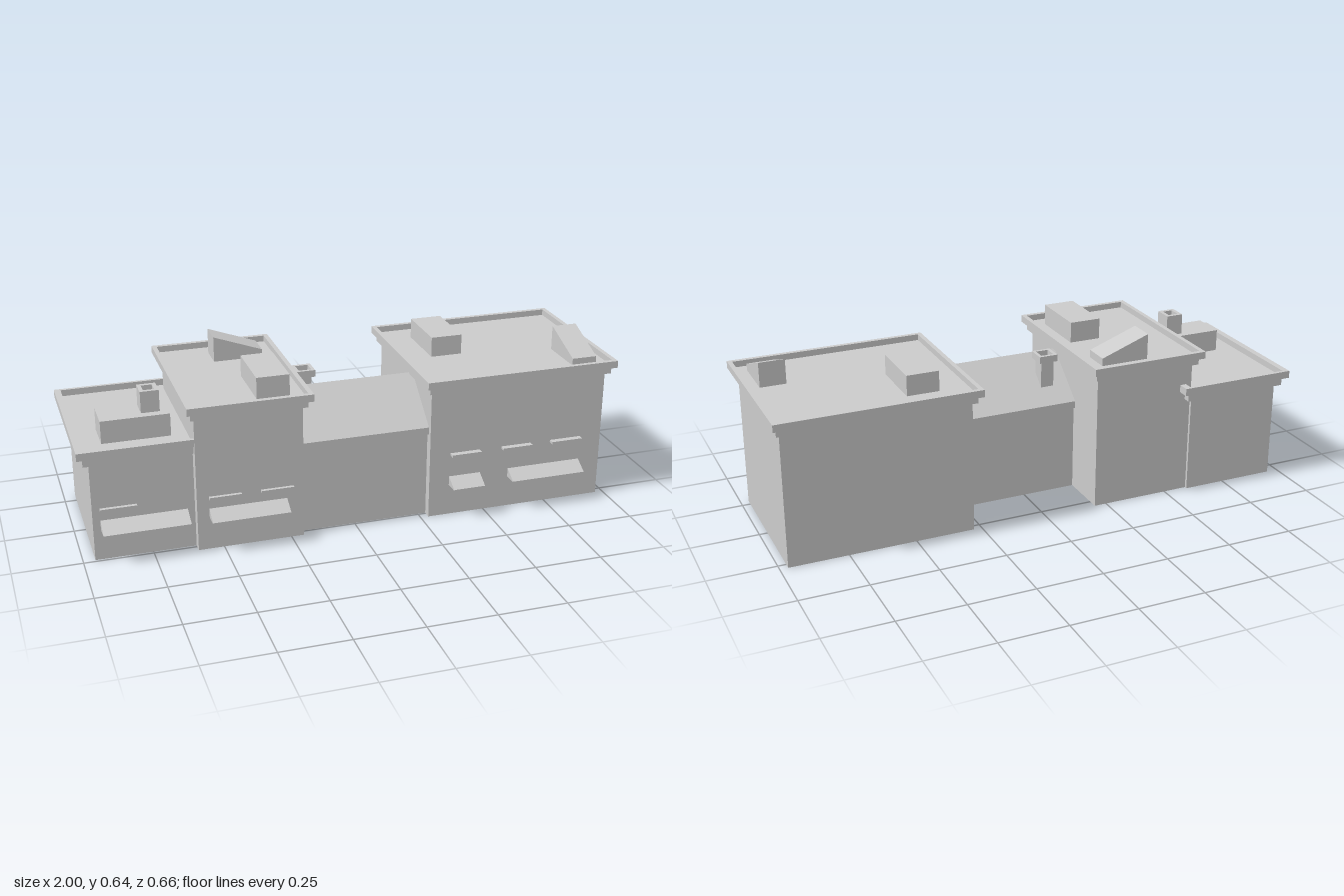
import * as THREE from 'three';

const material = new THREE.MeshStandardMaterial({ color: 0xcccccc, flatShading: true });

function add(parent, name, geometry) {
  const mesh = new THREE.Mesh(geometry, material);
  mesh.name = name;
  parent.add(mesh);
  return mesh;
}

// Box given by its limits on each axis
function box(parent, name, [x0, x1], [y0, y1], [z0, z1]) {
  const mesh = add(parent, name, new THREE.BoxGeometry(x1 - x0, y1 - y0, z1 - z0));
  mesh.position.set((x0 + x1) / 2, (y0 + y1) / 2, (z0 + z1) / 2);
  return mesh;
}

// Side profile of [z, y] points, stretched from x0 to x1
function profileX(parent, name, [x0, x1], points) {
  const shape = new THREE.Shape(points.map(([z, y]) => new THREE.Vector2(-z, y)));
  const geometry = new THREE.ExtrudeGeometry(shape, { depth: x1 - x0, bevelEnabled: false });
  geometry.rotateY(Math.PI / 2).translate(x0, 0, 0);
  return add(parent, name, geometry);
}

// Front profile of [x, y] points, stretched from z0 to z1
function profileZ(parent, name, points, [z0, z1]) {
  const shape = new THREE.Shape(points.map(([x, y]) => new THREE.Vector2(x, y)));
  const geometry = new THREE.ExtrudeGeometry(shape, { depth: z1 - z0, bevelEnabled: false });
  geometry.translate(0, 0, z0);
  return add(parent, name, geometry);
}

// Rectangular ring with an open middle
function ring(parent, name, [x0, x1], [y0, y1], [z0, z1], wx, wz = wx) {
  const rect = (a, b, c, d) => [[a, c], [b, c], [b, d], [a, d]].map(p => new THREE.Vector2(...p));
  const shape = new THREE.Shape(rect(x0, x1, -z1, -z0));
  shape.holes.push(new THREE.Path(rect(x0 + wx, x1 - wx, -z1 + wz, -z0 - wz).reverse()));
  const geometry = new THREE.ExtrudeGeometry(shape, { depth: y1 - y0, bevelEnabled: false });
  geometry.rotateX(-Math.PI / 2).translate(0, y0, 0);
  return add(parent, name, geometry);
}

const grow = ([a, b], d) => [a - d, b + d];

// Flat-roofed block: walls, stepped cornice, raised parapet, awnings and sills
function building(parent, name, b) {
  const group = new THREE.Group();
  group.name = name;
  parent.add(group);
  const mid = b.wall + b.step;
  box(group, 'walls', b.x, [0, b.wall], b.z);
  box(group, 'lowerCornice', grow(b.x, b.ox / 2), [b.wall, mid], grow(b.z, b.oz / 2));
  ring(group, 'parapet', grow(b.x, b.ox), [mid, b.top], grow(b.z, b.oz), b.ox / 2 + 0.002, b.oz / 2 - 0.004);
  box(group, 'roofDeck', grow(b.x, b.ox * 0.6), [mid - 0.005, mid + 0.004], grow(b.z, b.oz * 0.6));
  const front = b.z[1];
  for (const x of b.awnings) {
    const y = b.awningY;
    profileX(group, 'awning', x, [[front, y], [front + b.awningDepth, y + 0.001],
      [front + b.awningDepth, y + 0.004], [front, y + 0.035]]);
  }
  for (const x of b.sills) {
    box(group, 'windowLedge', x, [b.sillY, b.sillY + 0.009], [front, front + b.sillDepth]);
  }
  return group;
}

export function createModel() {
  const model = new THREE.Group();
  model.name = 'buildingRow';

  // Low block at the end
  const low = building(model, 'lowBuilding', {
    x: [-0.957, -0.591], z: [-0.298, 0.24], wall: 0.37, step: 0.032, top: 0.43, ox: 0.043, oz: 0.033,
    awnings: [[-0.93, -0.62]], awningY: 0.117, awningDepth: 0.062,
    sills: [[-0.93, -0.8]], sillY: 0.19, sillDepth: 0.014,
  });
  box(low, 'roofHousing', [-0.898, -0.652], [0.4, 0.49], [0.032, 0.16]);
  ring(low, 'chimney', [-0.749, -0.682], [0.488, 0.57], [0.056, 0.128], 0.014);

  // Tall block beside it
  const tall = building(model, 'tallBuilding', {
    x: [-0.594, -0.203], z: [-0.287, 0.277], wall: 0.51, step: 0.028, top: 0.565, ox: 0.03, oz: 0.041,
    awnings: [[-0.55, -0.265]], awningY: 0.124, awningDepth: 0.055,
    sills: [[-0.55, -0.433], [-0.361, -0.241]], sillY: 0.197, sillDepth: 0.013,
  });
  box(tall, 'roofHousing', [-0.361, -0.241], [0.535, 0.621], [0.015, 0.245]);
  profileZ(tall, 'stairHousing',
    [[-0.422, 0.535], [-0.238, 0.535], [-0.238, 0.571], [-0.422, 0.638]], [-0.252, -0.153]);

  // Wide block at the other end
  const wide = building(model, 'wideBuilding', {
    x: [0.28, 0.97], z: [-0.276, 0.277], wall: 0.5, step: 0.028, top: 0.555, ox: 0.029, oz: 0.041,
    awnings: [[0.358, 0.481], [0.594, 0.885]], awningY: 0.12, awningDepth: 0.055,
    sills: [[0.361, 0.476], [0.564, 0.682], [0.762, 0.885]], sillY: 0.24, sillDepth: 0.022,
  });
  box(wide, 'roofHousing', [0.377, 0.497], [0.525, 0.608], [-0.21, 0.015]);
  profileX(wide, 'stairHousing', [0.845, 0.941],
    [[0.255, 0.525], [0.255, 0.558], [0.073, 0.625], [0.073, 0.525]]);

  // Gabled link between the blocks
  const link = new THREE.Group();
  link.name = 'gabledLink';
  model.add(link);
  const span = [-0.203, 0.28];
  box(link, 'walls', span, [0, 0.33], [-0.095, 0.245]);
  profileX(link, 'gableRoof', span,
    [[-0.107, 0.328], [0.258, 0.328], [0.258, 0.355], [0.075, 0.505], [-0.107, 0.355]]);
  box(link, 'chimneyShaft', [-0.141, -0.091], [0.38, 0.51], [-0.045, 0.005]);
  ring(link, 'chimneyCap', [-0.152, -0.08], [0.506, 0.532], [-0.056, 0.016], 0.012);

  return model;
}
